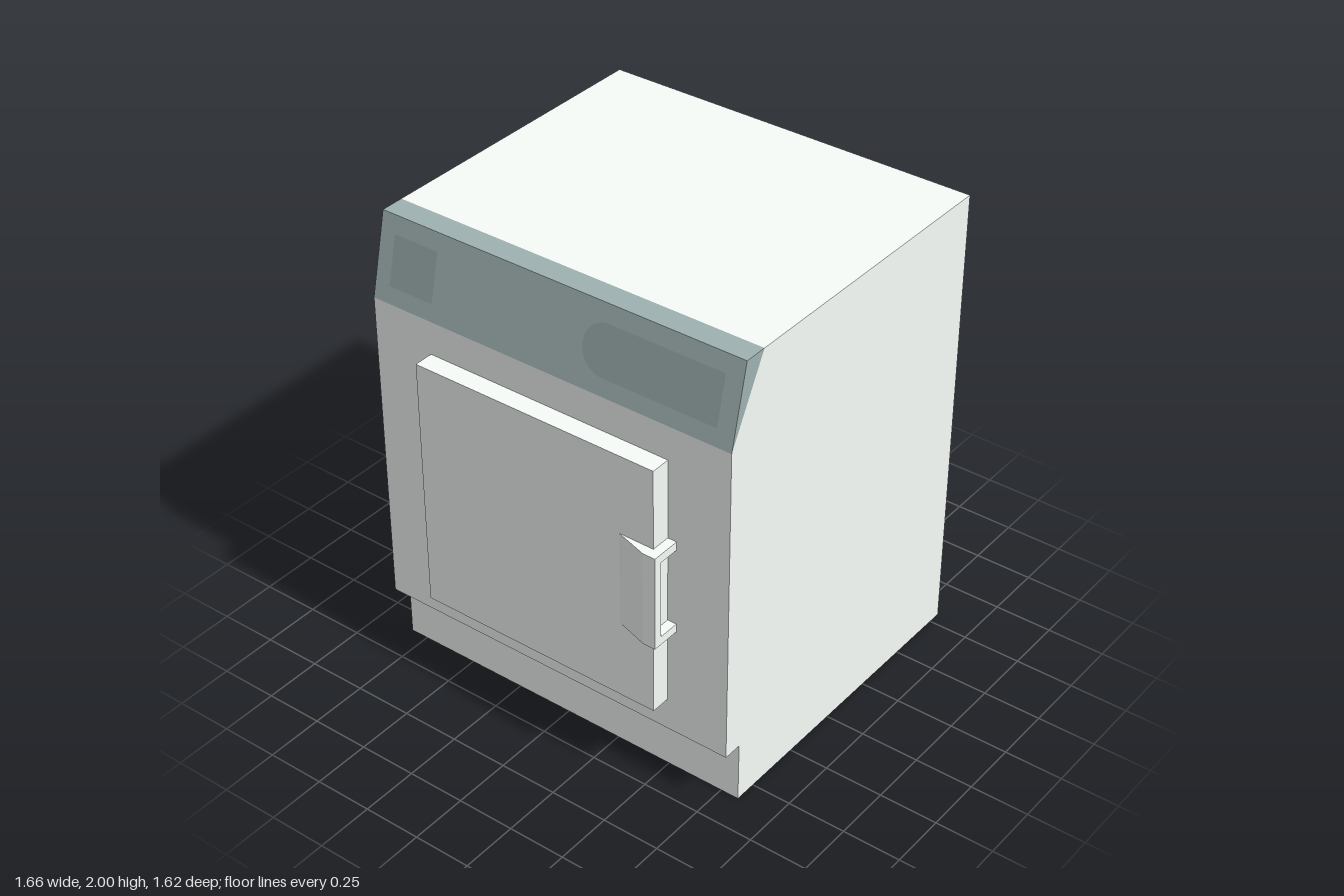
import * as THREE from 'three';

const W = 1.66, BACK = -0.808, RECESS = -0.724;
const mat = (color) => new THREE.MeshStandardMaterial({ color, flatShading: true });
const white = mat(0xf8fdfa), panelMat = mat(0x9fb1b1), markMat = mat(0x94a4a4);

const shapeOf = (pts) => new THREE.Shape(pts.map(([a, b]) => new THREE.Vector2(a, b)));

function part(name, geometry, material = white) {
  const mesh = new THREE.Mesh(geometry, material);
  mesh.name = name;
  return mesh;
}

// Box given by its min and max corners
function box(name, [x0, y0, z0], [x1, y1, z1]) {
  const g = new THREE.BoxGeometry(x1 - x0, y1 - y0, z1 - z0);
  return part(name, g.translate((x0 + x1) / 2, (y0 + y1) / 2, (z0 + z1) / 2));
}

// Side profile in (z, y), extruded over the full width
function sideProfile(pts) {
  const g = new THREE.ExtrudeGeometry(shapeOf(pts), { depth: W, bevelEnabled: false });
  return g.translate(0, 0, -W / 2).rotateY(-Math.PI / 2);
}

// Joins successive rectangles [halfWidth, y0, y1, z] with quads
function rectLoft(rings) {
  const pos = [];
  const corners = rings.map(([w, y0, y1, z]) => [[-w, y0, z], [w, y0, z], [w, y1, z], [-w, y1, z]]);
  for (let r = 0; r < corners.length - 1; r++) {
    const a = corners[r], b = corners[r + 1];
    for (let i = 0; i < 4; i++) {
      const j = (i + 1) % 4;
      pos.push(...a[i], ...b[i], ...b[j], ...a[i], ...b[j], ...a[j]);
    }
  }
  const g = new THREE.BufferGeometry();
  g.setAttribute('position', new THREE.Float32BufferAttribute(pos, 3));
  g.computeVertexNormals();
  return g;
}

export function createModel() {
  const model = new THREE.Group();
  model.name = 'dryer';

  // Cabinet with toe kick; the control panel wedge sits on its cut front edge
  model.add(part('cabinet', sideProfile([
    [RECESS, 0], [0.597, 0], [0.597, 0.267], [0.68, 0.267], [0.68, 1.658], [0.5, 2], [RECESS, 2],
  ])));
  model.add(part('controlPanel', sideProfile([[0.68, 1.658], [0.6, 2], [0.5, 2]]), panelMat));

  // Rear frame around a recess with sloping walls
  model.add(part('rearFrame', rectLoft([
    [W / 2, 0, 2, RECESS],
    [W / 2, 0, 2, BACK],
    [0.604, 0.225, 1.775, BACK],
    [0.518, 0.332, 1.668, RECESS],
  ])));

  // Flat markings lying on the sloping panel
  const slope = Math.hypot(0.342, 0.08) / 0.342;
  const v0 = 0.068 * slope, v1 = 0.27 * slope, r = (v1 - v0) / 2;
  const square = shapeOf([[-0.76, v0], [-0.552, v0], [-0.552, v1], [-0.76, v1]]);
  const display = new THREE.Shape();
  display.moveTo(0.755, v0);
  display.lineTo(0.755, v1);
  display.lineTo(0.145 + r, v1);
  display.absarc(0.145 + r, v0 + r, r, Math.PI / 2, Math.PI * 1.5, false);
  const markings = new THREE.Group();
  markings.name = 'panelMarkings';
  markings.add(part('squareMark', new THREE.ShapeGeometry(square), markMat));
  markings.add(part('displayMark', new THREE.ShapeGeometry(display, 24), markMat));
  markings.position.set(0, 1.658, 0.681);
  markings.rotation.x = -Math.atan2(0.08, 0.342);
  model.add(markings);

  // Door
  model.add(box('door', [-0.555, 0.41, 0.68], [0.555, 1.513, 0.765]));

  // Handle: wedge-shaped grip plate with a bracket at each end
  const handle = new THREE.Group();
  handle.name = 'handle';
  const grip = new THREE.ExtrudeGeometry(shapeOf([
    [0.4, 0.765], [0.555, 0.765], [0.555, 0.771], [0.595, 0.771], [0.595, 0.808], [0.54, 0.808],
  ]), { depth: 0.415, bevelEnabled: false });
  handle.add(part('gripPlate', grip.rotateX(Math.PI / 2).translate(0, 1.17, 0)));
  for (const y of [0.755, 1.133]) {
    handle.add(box('handleBracket', [0.555, y, 0.68], [0.595, y + 0.037, 0.771]));
  }
  model.add(handle);

  return model;
}
